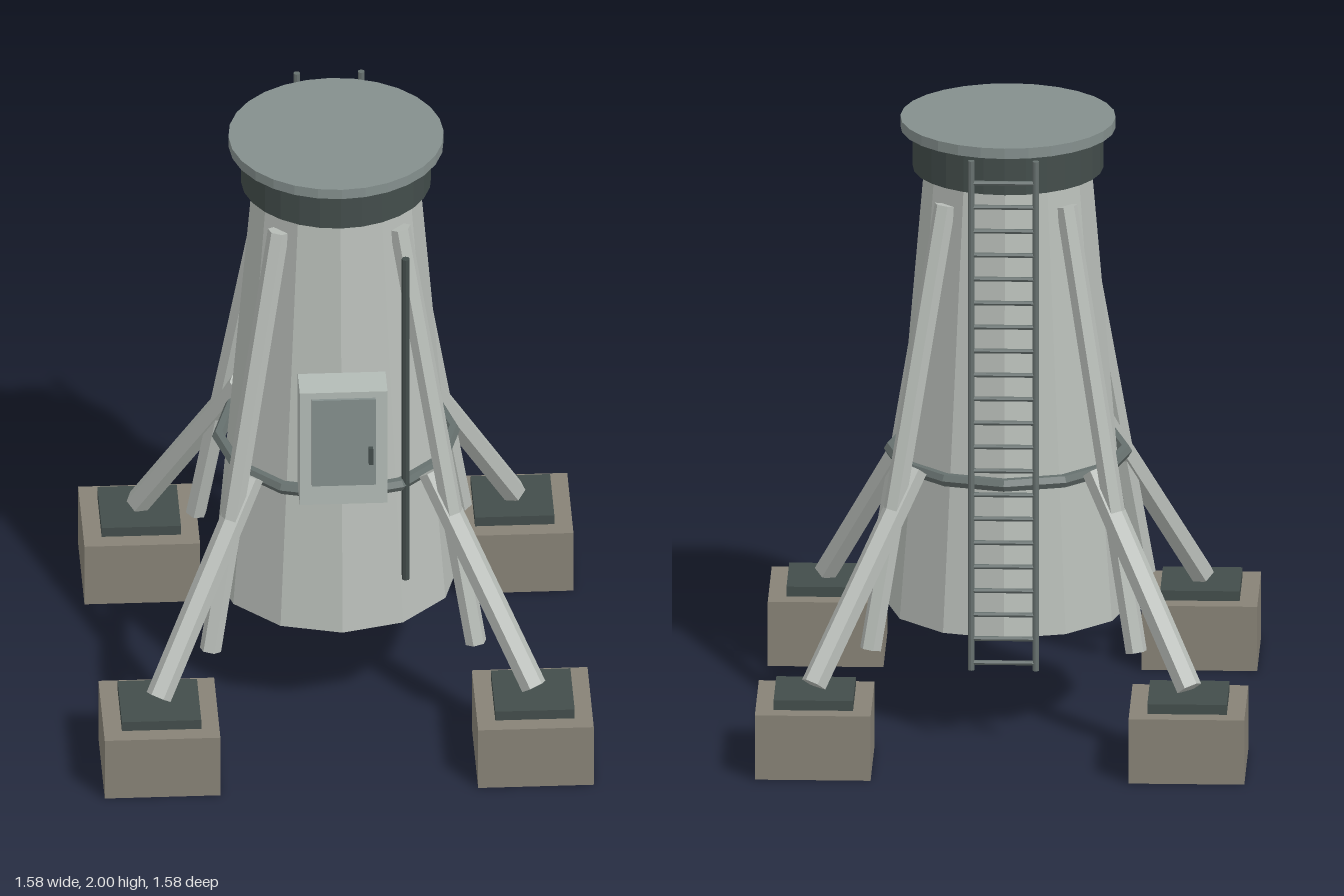
import * as THREE from 'three';

const paint = (color) => new THREE.MeshStandardMaterial({ color, flatShading: true });

export function createModel() {
  const model = new THREE.Group();
  const shell = paint(0xb9beb9);
  const dark = paint(0x434d4b);
  const panel = paint(0x848f8d);
  const concrete = paint(0x878276);
  const steel = paint(0x66706e);

  function add(name, geometry, material, x, y, z, parent = model) {
    const mesh = new THREE.Mesh(geometry, material);
    mesh.name = name;
    mesh.position.set(x, y, z);
    parent.add(mesh);
    return mesh;
  }

  // Round or faceted bar between two points
  function bar(name, a, b, radius, sides, material, parent) {
    const from = new THREE.Vector3(...a);
    const to = new THREE.Vector3(...b);
    const dir = to.clone().sub(from);
    const geometry = new THREE.CylinderGeometry(radius, radius, dir.length(), sides);
    const mid = from.add(to).multiplyScalar(0.5);
    const mesh = add(name, geometry, material, mid.x, mid.y, mid.z, parent);
    mesh.quaternion.setFromUnitVectors(new THREE.Vector3(0, 1, 0), dir.normalize());
    return mesh;
  }

  // Tapered twelve-sided tower, collar and lid
  add('towerBody', new THREE.CylinderGeometry(0.27, 0.395, 1.47, 12), shell, 0, 1.095, 0);
  add('collar', new THREE.CylinderGeometry(0.307, 0.307, 0.135, 28), dark, 0, 1.8975, 0);
  add('lid', new THREE.CylinderGeometry(0.347, 0.347, 0.035, 28), panel, 0, 1.9825, 0);

  // Band around the tower
  const band = add('band', new THREE.TorusGeometry(0.378, 0.022, 6, 12), steel, 0, 0.873, 0);
  band.rotation.x = Math.PI / 2;

  // Four diagonal legs, each built along +z and turned to its corner
  const D = Math.SQRT2;
  for (let i = 0; i < 4; i++) {
    const leg = new THREE.Group();
    leg.name = 'leg';
    leg.rotation.y = Math.PI / 4 + (i * Math.PI) / 2;
    bar('strut', [0, 1.76, 0.196 * D], [0, 0.33, 0.428 * D], 0.035, 6, shell, leg);
    bar('brace', [0, 0.895, 0.29 * D], [0, 0.265, 0.605 * D], 0.042, 6, shell, leg);
    const block = add('footing', new THREE.BoxGeometry(0.373, 0.217, 0.373), concrete, 0, 0.1085, 0.602 * D, leg);
    const plate = add('basePlate', new THREE.BoxGeometry(0.256, 0.033, 0.256), dark, 0, 0.2335, 0.602 * D, leg);
    block.rotation.y = plate.rotation.y = Math.PI / 4;
    model.add(leg);
  }

  // Equipment cabinet on the front
  add('cabinet', new THREE.BoxGeometry(0.283, 0.42, 0.122), paint(0xb3bbb6), 0, 1.092, 0.394);
  add('cabinetDoor', new THREE.BoxGeometry(0.206, 0.322, 0.01), panel, 0, 1.118, 0.46);
  add('doorHandle', new THREE.BoxGeometry(0.014, 0.06, 0.016), dark, 0.087, 1.072, 0.473);

  // Vertical conduit beside the cabinet
  bar('conduit', [0.207, 0.515, 0.325], [0.207, 1.72, 0.325], 0.013, 8, dark);

  // Ladder up the back
  const ladder = new THREE.Group();
  ladder.name = 'ladder';
  for (const x of [-0.104, 0.104]) bar('ladderRail', [x, 0.26, -0.416], [x, 1.98, -0.416], 0.011, 8, steel, ladder);
  for (let i = 0; i < 21; i++) {
    const y = 0.285 + i * 0.081;
    bar('ladderRung', [-0.104, y, -0.416], [0.104, y, -0.416], 0.008, 6, steel, ladder);
  }
  model.add(ladder);

  return model;
}
